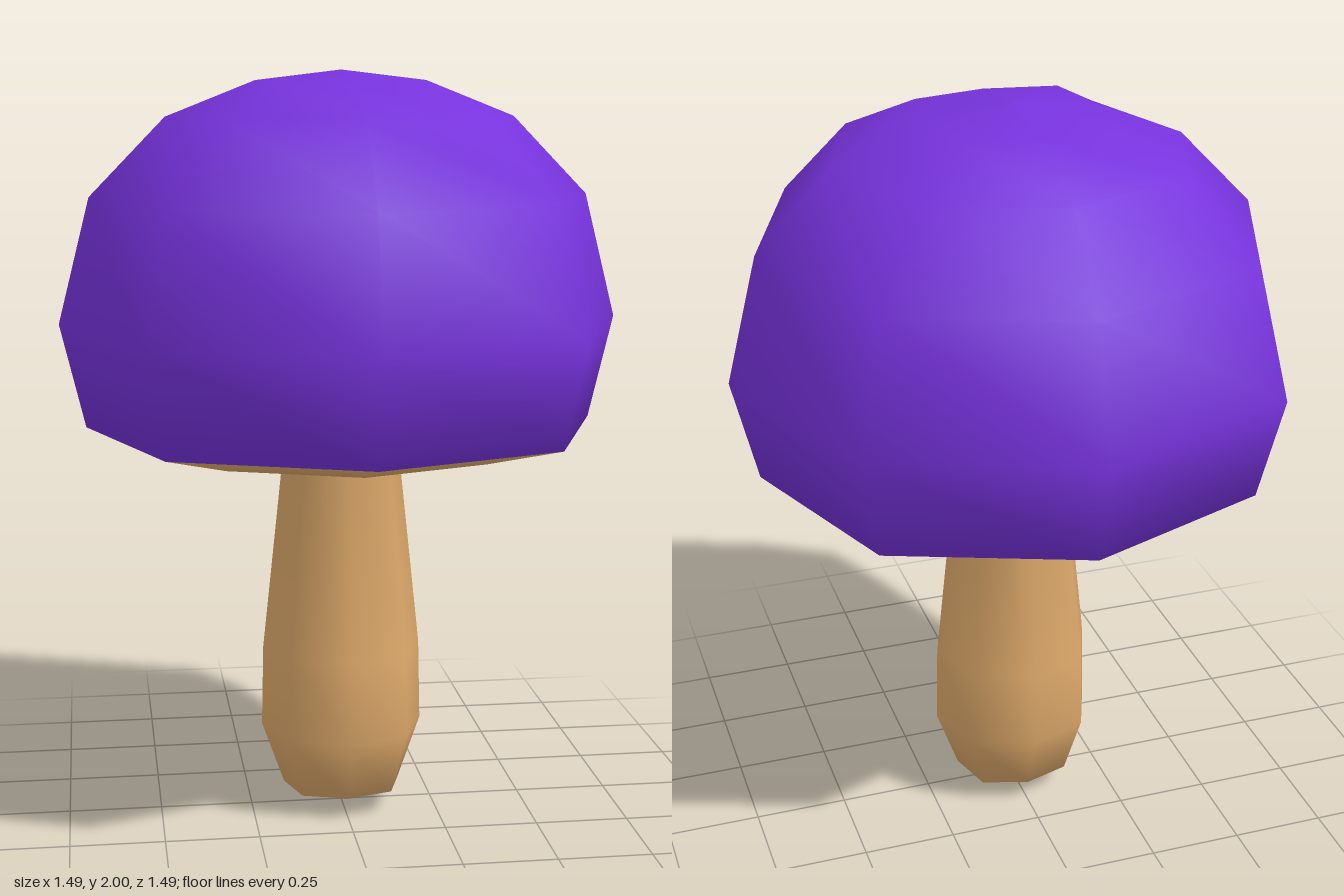
import * as THREE from 'three';

// Profile from foot to crown: radius, height, and widening of the diagonal corners
const PROFILE = [
  [0, 0, 1],
  [0.16, 0.06, 1.08],
  [0.22, 0.23, 1.02],
  [0.215, 0.45, 1.02],
  [0.155, 1.01, 1.02],
  [0.22, 1.06, 1.02],
  [0.46, 1.01, 1.025],
  [0.68, 1.07, 1.025],
  [0.745, 1.345, 1.025],
  [0.66, 1.675, 1.025],
  [0.46, 1.88, 1.04],
  [0.225, 1.973, 1.2],
  [0, 2, 1],
];
const RIM = 7;
const SIDES = 8;

// Eight-sided lathe with slightly squared rings
function makeBody() {
  const points = PROFILE.map(([r, y]) => new THREE.Vector2(r, y));
  const geometry = new THREE.LatheGeometry(points, SIDES);
  const pos = geometry.attributes.position;
  for (let i = 0; i < pos.count; i++) {
    const side = Math.floor(i / PROFILE.length);
    if (side % 2 === 0) continue;
    const k = PROFILE[i % PROFILE.length][2];
    pos.setX(i, pos.getX(i) * k);
    pos.setZ(i, pos.getZ(i) * k);
  }
  return geometry;
}

// Keeps the faces between two rings, with normals still smooth across the cut
function band(body, from, to, color, name) {
  const index = body.index.array;
  const kept = [];
  for (let i = 0; i < index.length; i += 3) {
    const face = [index[i], index[i + 1], index[i + 2]];
    if (face.every((v) => v % PROFILE.length >= from && v % PROFILE.length <= to)) kept.push(...face);
  }
  const geometry = body.clone();
  geometry.setIndex(kept);
  const mesh = new THREE.Mesh(geometry, new THREE.MeshStandardMaterial({ color }));
  mesh.name = name;
  return mesh;
}

export function createModel() {
  const group = new THREE.Group();
  group.name = 'mushroom';
  const body = makeBody();
  const tan = 0xdfaa6b;
  group.add(
    band(body, 0, 4, tan, 'stem'),
    band(body, 4, RIM, tan, 'capUnderside'),
    band(body, RIM, PROFILE.length - 1, 0x7733dd, 'cap'),
  );
  return group;
}
